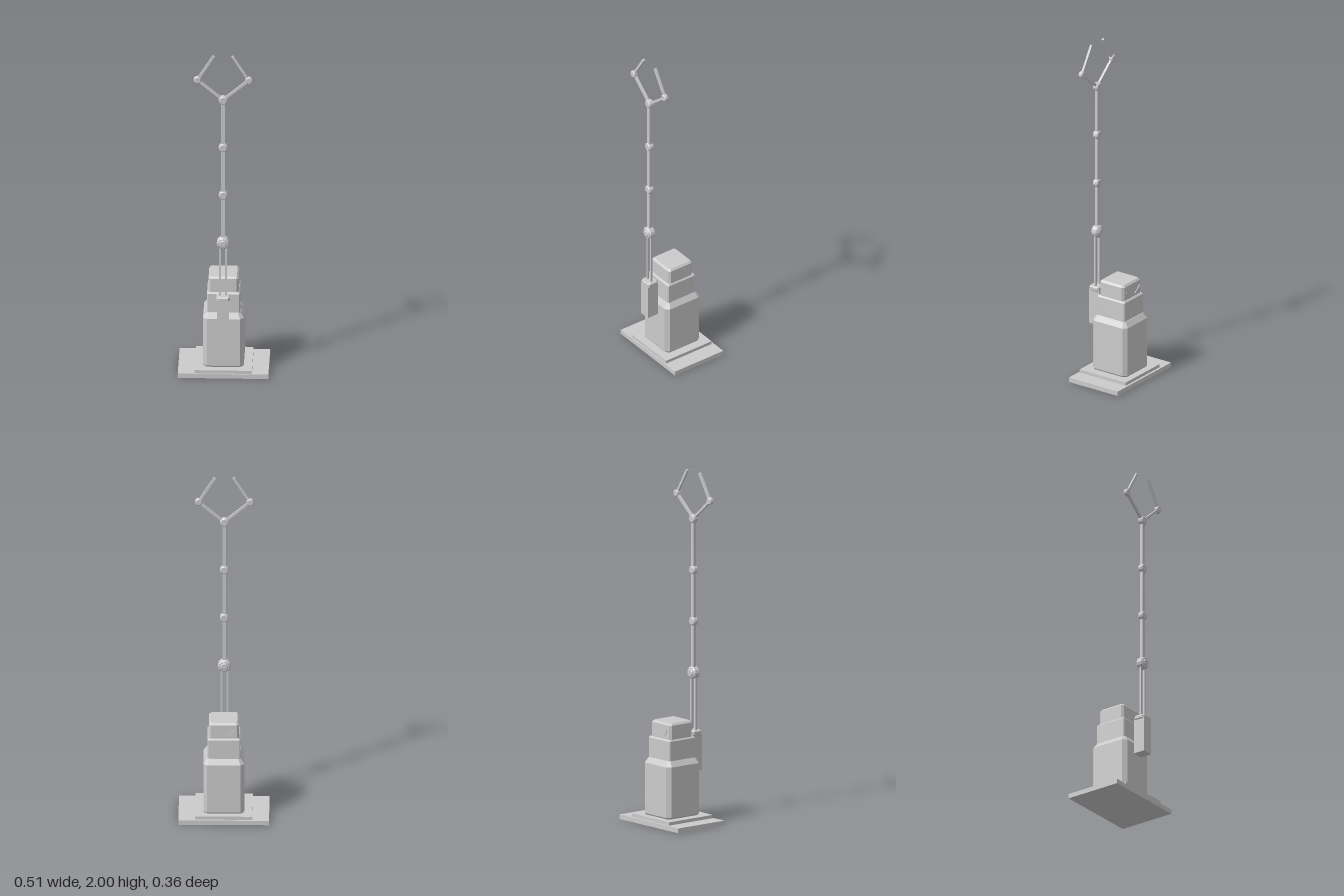
import * as THREE from 'three';
import { ConvexGeometry } from 'three/addons/geometries/ConvexGeometry.js';

const mat = new THREE.MeshStandardMaterial({ color: 0xcccccc, flatShading: true });
const thin = new THREE.MeshStandardMaterial({ color: 0xcccccc, side: THREE.DoubleSide });
const ARM_Z = 0.145;

export function createModel() {
  const model = new THREE.Group();

  function add(name, geometry, x = 0, y = 0, z = 0, material = mat) {
    const mesh = new THREE.Mesh(geometry, material);
    mesh.name = name;
    mesh.position.set(x, y, z);
    model.add(mesh);
    return mesh;
  }

  // Box given by its lower and upper heights
  function slab(name, w, y0, y1, d, z) {
    add(name, new THREE.BoxGeometry(w, y1 - y0, d), 0, (y0 + y1) / 2, z);
  }

  // Chamfered block: rings are [y, halfWidth, halfDepth, cornerCut]
  function block(name, z, rings) {
    const points = [];
    for (const [y, w, d, c] of rings)
      for (const sx of [-1, 1])
        for (const sz of [-1, 1])
          points.push(
            new THREE.Vector3(sx * (w - c), y, sz * d),
            new THREE.Vector3(sx * w, y, sz * (d - c)));
    add(name, new ConvexGeometry(points), 0, 0, z);
  }

  // Bevelled joint disc with its axis along z
  function joint(name, x, y, r, depth) {
    const h = depth / 2, b = r * 0.22;
    const profile = [[0, -h], [r - b, -h], [r, -h + b], [r, h - b], [r - b, h], [0, h]]
      .map(([px, py]) => new THREE.Vector2(px, py));
    add(name, new THREE.LatheGeometry(profile, 12), x, y, ARM_Z).rotation.x = Math.PI / 2;
  }

  // Square bar between two points in the arm plane
  function bar(name, x0, y0, x1, y1, w, d) {
    const length = Math.hypot(x1 - x0, y1 - y0);
    add(name, new THREE.BoxGeometry(w, length, d), (x0 + x1) / 2, (y0 + y1) / 2, ARM_Z)
      .rotation.z = -Math.atan2(x1 - x0, y1 - y0);
  }

  // Stepped base
  slab('basePlate', 0.51, 0, 0.027, 0.34, -0.013);
  slab('upperBasePlate', 0.324, 0.027, 0.046, 0.32, -0.01);

  // Body, neck and head
  block('body', -0.0135, [
    [0.046, 0.109, 0.115, 0.018], [0.055, 0.115, 0.121, 0.022],
    [0.345, 0.115, 0.121, 0.022], [0.376, 0.094, 0.1, 0.012]]);
  block('neck', -0.0135, [
    [0.37, 0.093, 0.096, 0.006], [0.488, 0.093, 0.096, 0.006], [0.496, 0.086, 0.089, 0.004]]);
  block('head', -0.0135, [
    [0.49, 0.085, 0.084, 0.012], [0.577, 0.085, 0.084, 0.012], [0.588, 0.075, 0.074, 0.008]]);

  // Slanted half-round eyes on the back face
  for (const s of [-1, 1]) {
    const shape = new THREE.Shape();
    shape.moveTo(s * 0.017, 0.516);
    shape.lineTo(s * 0.062, 0.554);
    shape.quadraticCurveTo(s * 0.067, 0.514, s * 0.017, 0.516);
    const eye = new THREE.ExtrudeGeometry(shape, { depth: 0.004, bevelEnabled: false, curveSegments: 8 });
    add(s > 0 ? 'leftEye' : 'rightEye', eye, 0, 0, -0.106, thin);
  }

  // Arm housing with collar
  slab('armHousing', 0.066, 0.28, 0.488, 0.07, ARM_Z);
  block('armCollar', ARM_Z, [
    [0.484, 0.034, 0.031, 0.008], [0.489, 0.038, 0.034, 0.01],
    [0.505, 0.038, 0.034, 0.01], [0.511, 0.033, 0.029, 0.008]]);

  // Twin lower rods
  for (const s of [-1, 1]) bar('lowerRod', s * 0.017, 0.5, s * 0.017, 0.835, 0.011, 0.011);

  // Jointed mast
  const heights = [0.84, 1.135, 1.43, 1.725];
  heights.forEach((y, i) => {
    joint('mastJoint', 0, y, i ? 0.025 : 0.036, i ? 0.034 : 0.044);
    if (i) bar('mastSegment', 0, heights[i - 1], 0, y, 0.022, 0.018);
  });
  joint('mainPivot', 0, 0.84, 0.022, 0.056);

  // Claw fingers
  for (const s of [-1, 1]) {
    bar('lowerFinger', 0, 1.725, s * 0.145, 1.848, 0.014, 0.014);
    joint('fingerJoint', s * 0.145, 1.848, 0.021, 0.026);
    bar('fingerTip', s * 0.145, 1.848, s * 0.053, 1.996, 0.014, 0.013);
  }
  return model;
}
